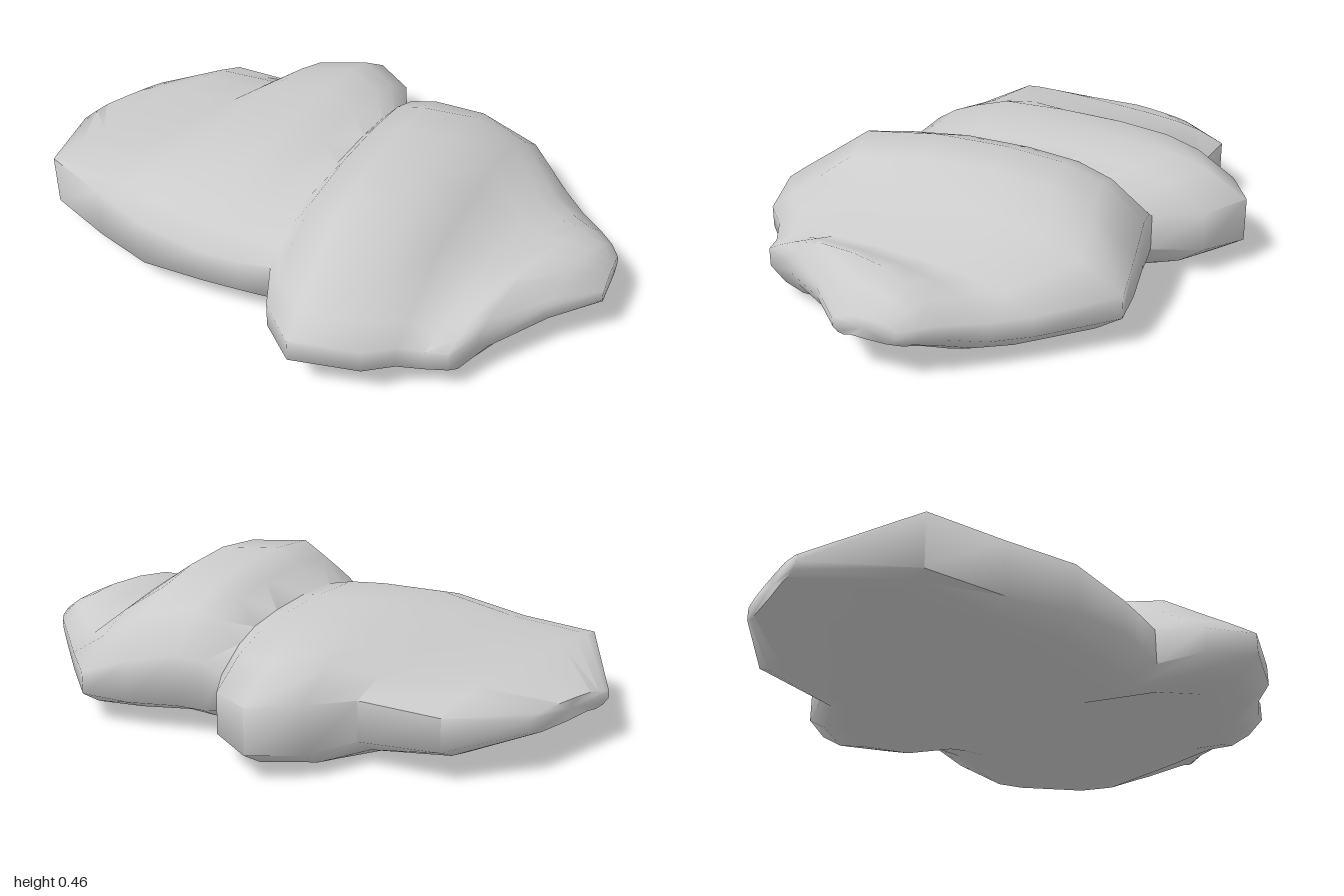
import * as THREE from 'three';
import { toCreasedNormals } from 'three/addons/utils/BufferGeometryUtils.js';

// Rows from back to front: left x, left z, right x, right z, rim y, top y, bottom y,
// left taper, right taper (low values give a blunt, tall end)
const ROWS = [
  [-0.35, -1.0, 0.05, -0.97, 0.17, 0.2, 0.13, 0.7, 0.3],
  [-0.65, -0.76, 0.28, -0.82, 0.18, 0.265, 0.06, 0.08, 0.4],
  [-0.66, -0.5, 0.35, -0.56, 0.18, 0.305, 0.01, 0.3, 0.5],
  [-0.67, -0.25, 0.53, -0.51, 0.18, 0.375, 0.0, 0.5, 0.5],
  [-0.61, -0.02, 0.66, -0.39, 0.18, 0.385, 0.0, 0.7, 0.55],
  [-0.56, 0.1, 0.61, -0.22, 0.18, 0.37, 0.0, 0.7, 0.6],
  [-0.51, 0.2, 0.48, -0.1, 0.18, 0.34, 0.01, 0.6, 0.6],
  [-0.63, 0.31, 0.51, -0.04, 0.18, 0.425, 0.02, 0.9, 0.5],
  [-0.7, 0.47, 0.55, 0.04, 0.18, 0.46, 0.03, 1, 0.5],
  [-0.57, 0.65, 0.63, 0.19, 0.16, 0.455, 0.02, 1, 0.6],
  [-0.47, 0.7, 0.7, 0.34, 0.15, 0.36, 0.01, 0.9, 0.9],
  [-0.41, 0.76, 0.56, 0.58, 0.14, 0.24, 0.01, 0.8, 0.8],
  [-0.37, 0.82, 0.49, 0.7, 0.14, 0.265, 0.03, 0.8, 0.8],
  [-0.25, 0.84, 0.43, 0.81, 0.16, 0.29, 0.07, 0.9, 0.9],
  [-0.02, 0.91, 0.39, 0.88, 0.17, 0.25, 0.1, 0.9, 0.9],
  [0.16, 1.0, 0.35, 0.93, 0.17, 0.2, 0.13, 0.7, 0.7],
];

// Section profiles: position across the row, share of the height above or below the rim
const UPPER = [[0, 0.1], [0.06, 0.3], [0.14, 0.55], [0.25, 0.9], [0.45, 1], [0.64, 0.96], [0.79, 0.8], [0.89, 0.52], [1, 0.1]];
const LOWER = [[1, 0.3], [0.93, 0.7], [0.84, 1], [0.5, 0.88], [0.28, 0.75], [0.16, 0.9], [0.07, 0.7], [0, 0.3]];

function ring([lx, lz, rx, rz, rim, top, bottom, leftTaper, rightTaper]) {
  const place = (t, share, limit) => [
    lx + (rx - lx) * t,
    rim + (limit - rim) * share ** (t < 0.5 ? leftTaper : rightTaper),
    lz + (rz - lz) * t,
  ];
  return [
    ...UPPER.map(([t, share]) => place(t, share, top)),
    ...LOWER.map(([t, share]) => place(t, share, bottom)),
  ];
}

// All ring points gathered at the middle, which closes an end
function cap([lx, lz, rx, rz, rim]) {
  return Array.from({ length: UPPER.length + LOWER.length }, () => [(lx + rx) / 2, rim, (lz + rz) / 2]);
}

function loft(rings) {
  const n = rings[0].length;
  const index = [];
  for (let r = 0; r < rings.length - 1; r++) {
    for (let i = 0; i < n; i++) {
      const a = r * n + i;
      const b = r * n + ((i + 1) % n);
      if (r < rings.length - 2) index.push(a, a + n, b + n);
      if (r > 0) index.push(a, b + n, b);
    }
  }
  const geometry = new THREE.BufferGeometry();
  geometry.setAttribute('position', new THREE.Float32BufferAttribute(rings.flat(2), 3));
  geometry.setIndex(index);
  return toCreasedNormals(geometry, 1.2);
}

export function createModel() {
  const group = new THREE.Group();
  group.name = 'rock';

  // One boulder with two humps, a diagonal groove and a low front ledge
  const rings = [cap(ROWS[0]), ...ROWS.map(ring), cap(ROWS[ROWS.length - 1])];
  const boulder = new THREE.Mesh(loft(rings), new THREE.MeshStandardMaterial({ color: 0xcccccc }));
  boulder.name = 'boulder';
  group.add(boulder);
  return group;
}
